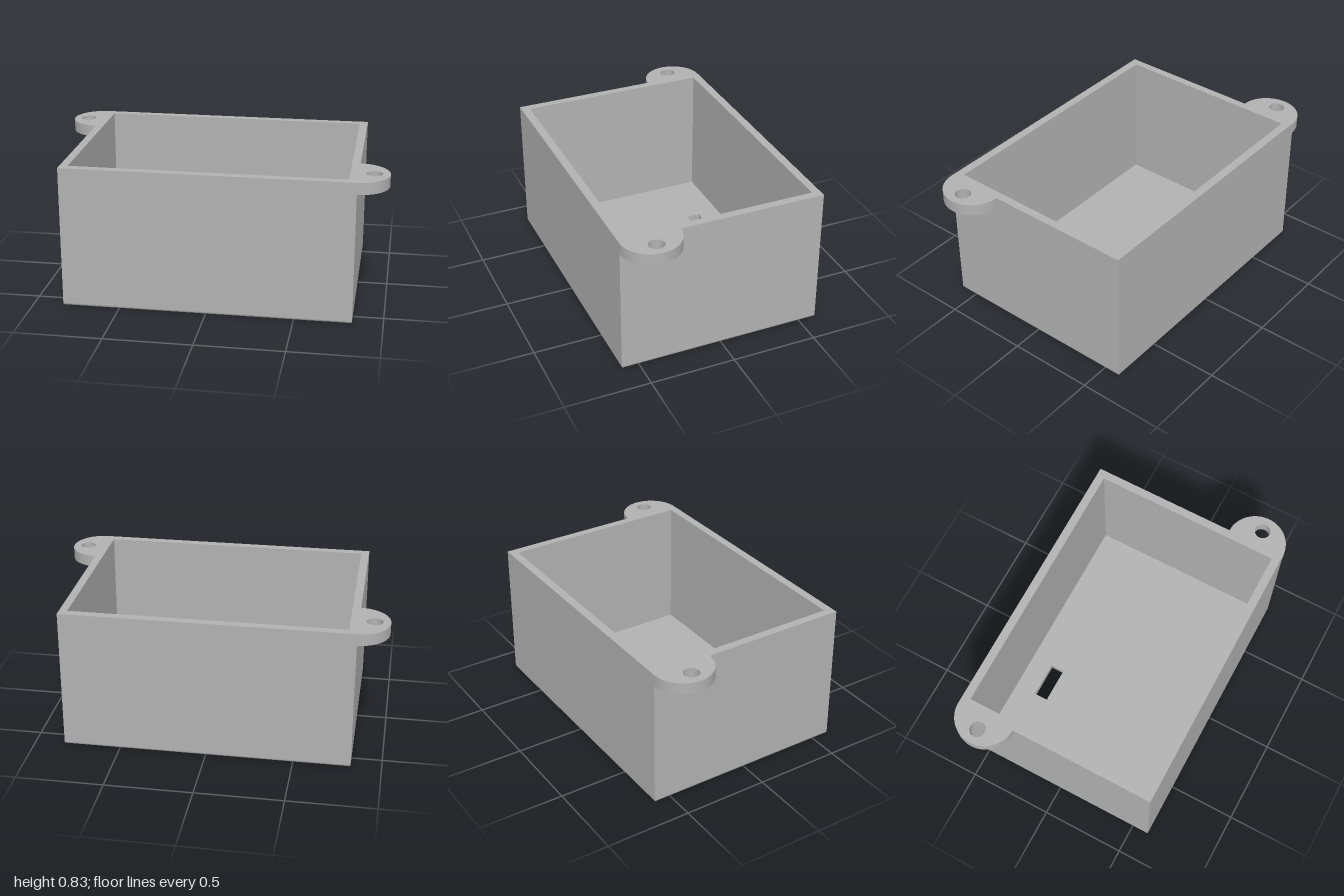
import * as THREE from 'three';
import { toCreasedNormals } from 'three/addons/utils/BufferGeometryUtils.js';

const W = 0.827, D = 0.602, H = 0.828;      // outer half width, half depth, height
const IW = 0.78, ID = 0.553;                // cavity half width and half depth
const FLOOR = 0.047, R = 0.015;             // floor thickness, bottom edge radius
const LUG_R = 0.173, LUG_Y = 0.76, LUG_Z = D - LUG_R;

// Rectangle drawn into a Shape or Path; the shape's y axis becomes -z
function rect(target, x0, y0, x1, y1) {
  target.moveTo(x0, y0);
  target.lineTo(x1, y0);
  target.lineTo(x1, y1);
  target.lineTo(x0, y1);
  target.closePath();
  return target;
}

// Extrude a plan shape upwards between two heights
function slab(shape, y0, y1) {
  const g = new THREE.ExtrudeGeometry(shape, { depth: y1 - y0, bevelEnabled: false, curveSegments: 32 });
  g.rotateX(-Math.PI / 2);
  g.translate(0, y0, 0);
  return toCreasedNormals(g, 0.5);
}

// Rounded bottom edge: stacked rectangular loops following a quarter circle
function bottomRound() {
  const steps = 6, pos = [];
  const loop = (i) => {
    const a = (i / steps) * Math.PI / 2;
    const inset = R * (1 - Math.sin(a)), y = R * (1 - Math.cos(a));
    const w = W - inset, d = D - inset;
    return [[w, y, d], [w, y, -d], [-w, y, -d], [-w, y, d]];
  };
  for (let i = 0; i < steps; i++) {
    const lo = loop(i), hi = loop(i + 1);
    for (let k = 0; k < 4; k++) {
      const n = (k + 1) % 4;
      pos.push(...lo[k], ...lo[n], ...hi[n], ...lo[k], ...hi[n], ...hi[k]);
    }
  }
  const g = new THREE.BufferGeometry();
  g.setAttribute('position', new THREE.Float32BufferAttribute(pos, 3));
  return toCreasedNormals(g, 0.5);
}

export function createModel() {
  const group = new THREE.Group();
  group.name = 'enclosure';
  const grey = new THREE.MeshStandardMaterial({ color: 0xb2b2b2 });
  grey.name = 'grey plastic';
  const add = (name, geometry) => {
    const mesh = new THREE.Mesh(geometry, grey);
    mesh.name = name;
    group.add(mesh);
  };
  const cavity = () => rect(new THREE.Path(), -IW, -ID, IW, ID);

  // Four walls below the rim
  const walls = rect(new THREE.Shape(), -W, -D, W, D);
  walls.holes.push(cavity());
  add('walls', slab(walls, R, LUG_Y));

  // Rim with a rounded mounting lug at two opposite corners
  const rim = new THREE.Shape();
  rim.moveTo(-W, -D);
  rim.lineTo(W, -D);
  rim.absarc(W, -LUG_Z, LUG_R, -Math.PI / 2, Math.PI / 2, false);
  rim.lineTo(W, D);
  rim.lineTo(-W, D);
  rim.absarc(-W, LUG_Z, LUG_R, Math.PI / 2, Math.PI * 1.5, false);
  rim.closePath();
  rim.holes.push(cavity());
  for (const s of [1, -1]) {
    rim.holes.push(new THREE.Path().absarc(s * 0.913, -s * LUG_Z, 0.045, 0, Math.PI * 2, true));
  }
  add('rimWithLugs', slab(rim, LUG_Y, H));

  // Floor with the cable slot
  const floor = rect(new THREE.Shape(), -W + R, -D + R, W - R, D - R);
  floor.holes.push(rect(new THREE.Path(), -0.386, 0.34, -0.172, 0.423));
  add('floor', slab(floor, 0, FLOOR));

  add('bottomEdge', bottomRound());
  return group;
}
